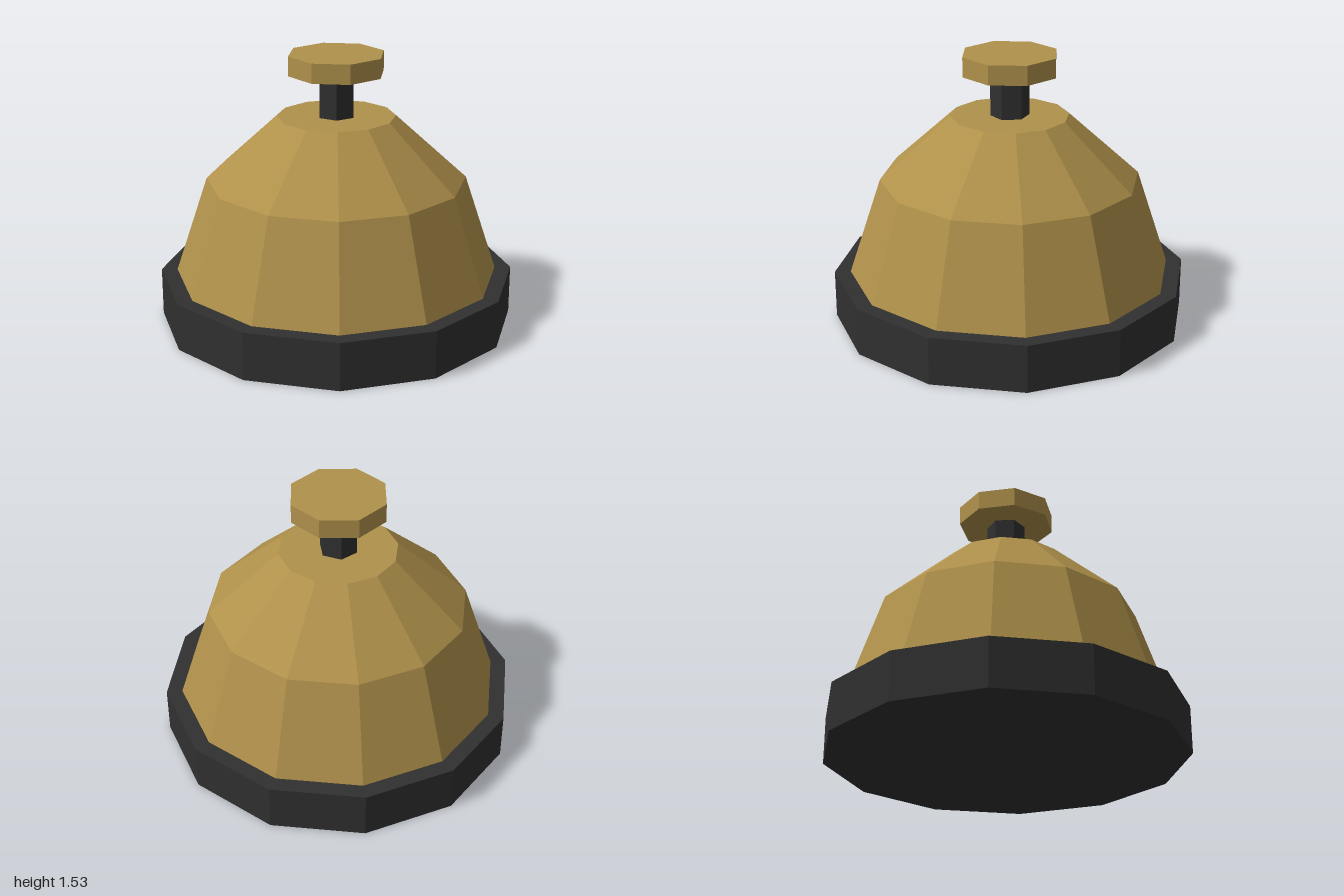
import * as THREE from 'three';

export function createModel() {
  const model = new THREE.Group();
  model.name = 'deskBell';

  const brass = new THREE.MeshStandardMaterial({ color: 0xb0914b, flatShading: true });
  brass.name = 'brass';
  const black = new THREE.MeshStandardMaterial({ color: 0x303030, flatShading: true });
  black.name = 'black';

  const add = (name, geometry, material, y = 0) => {
    const mesh = new THREE.Mesh(geometry, material);
    mesh.name = name;
    mesh.position.y = y;
    model.add(mesh);
  };
  // Upright prism between two heights
  const prism = (name, radius, y0, y1, sides, material, turn = 0) =>
    add(name, new THREE.CylinderGeometry(radius, radius, y1 - y0, sides, 1, false, turn), material, (y0 + y1) / 2);

  // Twelve-sided foot
  prism('base', 1, 0, 0.27, 12, black);

  // Faceted bell dome with a flat top
  const profile = [[0.91, 0.27], [0.727, 0.82], [0.33, 1.18], [0, 1.18]];
  add('dome', new THREE.LatheGeometry(profile.map(([r, y]) => new THREE.Vector2(r, y)), 12), brass);

  // Hexagonal plunger stem with corners on the x axis
  prism('stem', 0.108, 1.18, 1.42, 6, black, Math.PI / 2);

  // Octagonal push button
  prism('button', 0.272, 1.42, 1.53, 8, brass);

  return model;
}
